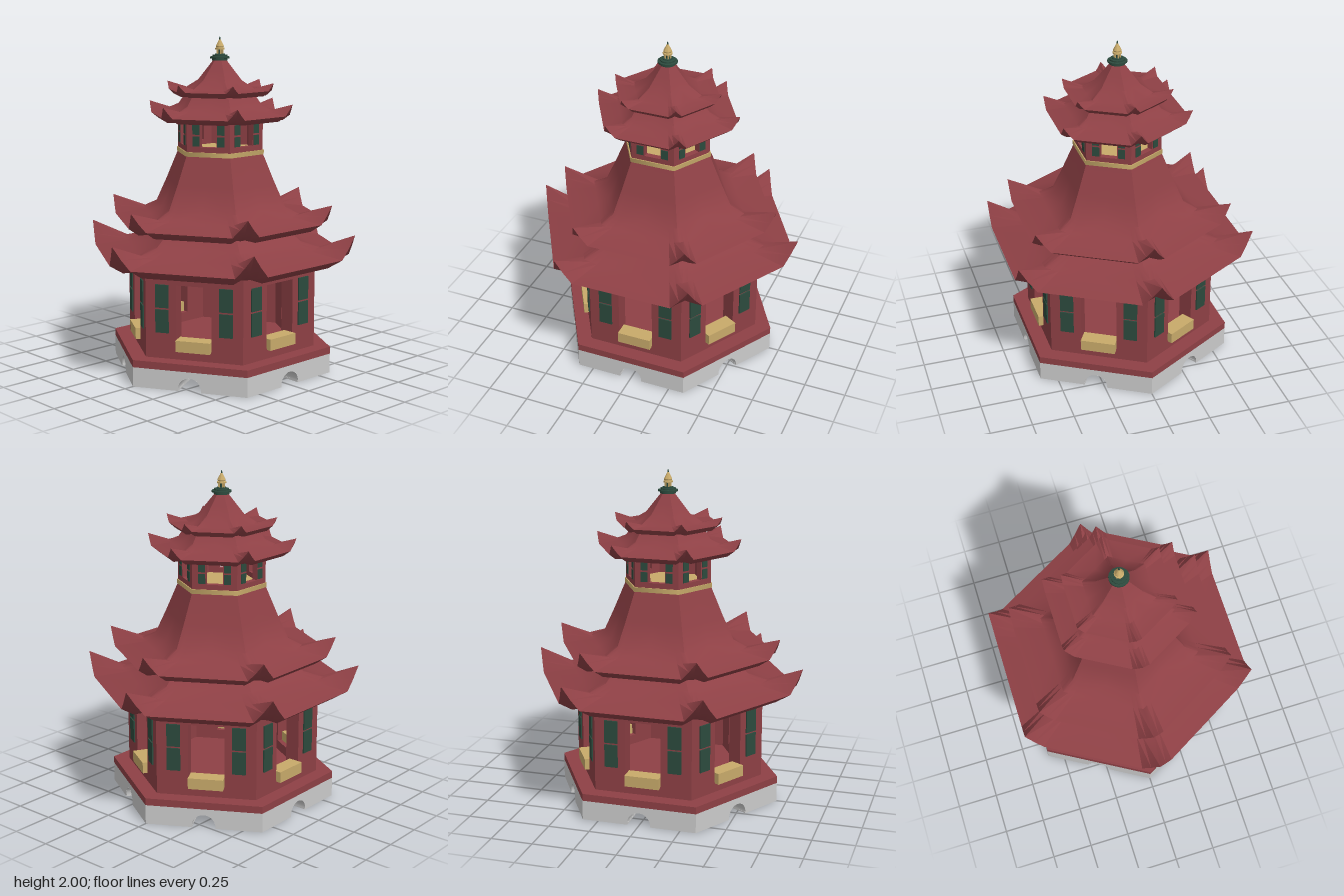
import * as THREE from 'three';
import { mergeGeometries, toCreasedNormals } from 'three/addons/utils/BufferGeometryUtils.js';

const COS30 = Math.sqrt(3) / 2;
const mat = (color, extra = {}) => new THREE.MeshStandardMaterial({ color, ...extra });

export function createModel() {
  const model = new THREE.Group();
  const red = mat(0x8e4045, { flatShading: true });
  const roofRed = mat(0x8e4045, { side: THREE.DoubleSide });
  const stone = mat(0xcccccc, { side: THREE.DoubleSide });
  const green = mat(0x2c4a3d);
  const tan = mat(0xc8aa6a);

  const add = (parent, name, geometry, material) => {
    const mesh = new THREE.Mesh(geometry, material);
    mesh.name = name;
    parent.add(mesh);
    return mesh;
  };

  // Hexagonal prism with corners on the x axis
  const hexPrism = (name, r, y0, y1, material) => {
    const g = new THREE.CylinderGeometry(r, r, y1 - y0, 6, 1, false, Math.PI / 6);
    g.translate(0, (y0 + y1) / 2, 0);
    return add(model, name, g.toNonIndexed(), material);
  };

  // Six turned copies of something built facing +z
  const sixSides = (name, build) => {
    for (let k = 0; k < 6; k++) {
      const side = new THREE.Group();
      side.name = name;
      side.rotation.y = (k * Math.PI) / 3;
      build(side);
      model.add(side);
    }
  };

  const box = (x, y0, y1, z0, z1, w) =>
    new THREE.BoxGeometry(w, y1 - y0, z1 - z0).translate(x, (y0 + y1) / 2, (z0 + z1) / 2);

  // Stone base: arched outer faces, tunnels and the underside between them
  const baseR = 0.69, baseTop = 0.117, archR = 0.07, archY = 0.01;
  const face = new THREE.Shape();
  face.moveTo(-baseR / 2, 0);
  face.lineTo(-archR, 0);
  face.lineTo(-archR, archY);
  face.absarc(0, archY, archR, Math.PI, 0, true);
  face.lineTo(archR, 0);
  face.lineTo(baseR / 2, 0);
  face.lineTo(baseR / 2, baseTop);
  face.lineTo(-baseR / 2, baseTop);
  const faceGeo = new THREE.ShapeGeometry(face, 16).translate(0, 0, baseR * COS30);

  const tunnelStart = 2 * archR * COS30;
  const tunnelLength = baseR * COS30 - tunnelStart;
  const tunnelGeo = new THREE.CylinderGeometry(archR, archR, tunnelLength, 16, 1, true, Math.PI / 2, Math.PI);
  tunnelGeo.rotateX(Math.PI / 2).translate(0, archY, tunnelStart + tunnelLength / 2);

  const kite = new THREE.Shape([
    [2 * archR, 0],
    [baseR * 0.75 + archR / 2, -baseR * COS30 / 2 + archR * COS30],
    [baseR, 0],
    [baseR * 0.75 + archR / 2, baseR * COS30 / 2 - archR * COS30],
  ].map(([x, y]) => new THREE.Vector2(x, y)));
  const kiteGeo = new THREE.ShapeGeometry(kite).rotateX(Math.PI / 2);

  sixSides('baseSide', (side) => {
    add(side, 'baseFace', faceGeo, stone);
    add(side, 'baseTunnel', tunnelGeo, stone);
    add(side, 'baseUnderside', kiteGeo, stone);
    for (const s of [-1, 1]) {
      add(side, 'tunnelFoot', box(s * archR, 0, archY, tunnelStart, baseR * COS30 - 0.002, 0.002), stone);
    }
  });
  hexPrism('floorCore', 0.46, 0.06, 0.15, red);
  hexPrism('floorSlab', baseR, baseTop, 0.16, red);

  // Storey: six walls with an open window and a pair of split shutters
  const storey = (name, o) => {
    const ap = o.r * COS30;
    const wall = new THREE.Shape();
    wall.moveTo(-o.r / 2, o.y0);
    wall.lineTo(o.r / 2, o.y0);
    wall.lineTo(o.r / 2, o.y1);
    wall.lineTo(-o.r / 2, o.y1);
    const hole = new THREE.Path();
    hole.moveTo(-o.win, o.winY0);
    hole.lineTo(-o.win, o.winY1);
    hole.lineTo(o.win, o.winY1);
    hole.lineTo(o.win, o.winY0);
    wall.holes.push(hole);
    const wallGeo = new THREE.ExtrudeGeometry(wall, { depth: o.thick, bevelEnabled: false });
    wallGeo.translate(0, 0, ap - o.thick);
    sixSides(name, (side) => {
      add(side, 'wall', wallGeo, red);
      for (const s of [-1, 1]) {
        for (const [a, b] of o.panels) {
          add(side, 'shutter', box(s * o.panelX, a, b, ap - 0.01, ap + o.proud, o.panelW), green);
        }
      }
      if (o.sill) add(side, 'windowSill', box(0, 0.213, 0.28, 0.45, 0.54, 0.208), tan);
    });
  };
  storey('lowerStorey', {
    r: 0.59, y0: 0.155, y1: 0.7, thick: 0.09, win: 0.107, winY0: 0.22, winY1: 0.6,
    panels: [[0.314, 0.452], [0.463, 0.6]], panelX: 0.193, panelW: 0.08, proud: 0.008, sill: true,
  });
  storey('upperStorey', {
    r: 0.265, y0: 1.32, y1: 1.54, thick: 0.035, win: 0.05, winY0: 1.365, winY1: 1.5,
    panels: [[1.37, 1.428], [1.439, 1.498]], panelX: 0.076, panelW: 0.042, proud: 0.004,
  });
  hexPrism('trimBand', 0.272, 1.308, 1.335, tan);

  // Roof: rows of [radius, height, corner lift] from the soffit round the eave to the top
  const us = [-1, -0.87, -0.74, 0, 0.74, 0.87, 1];
  const roof = (name, rows) => {
    const pos = [], index = [];
    for (const [r, y, lift] of rows) {
      for (const u of us) {
        const t = Math.max(0, (Math.abs(u) - 0.74) / 0.26);
        pos.push((u * r) / 2, y + (lift || 0) * Math.pow(t, 1.15), r * COS30);
      }
    }
    const n = us.length;
    for (let i = 0; i < rows.length - 1; i++) {
      for (let j = 0; j < n - 1; j++) {
        const a = i * n + j, b = a + 1, c = a + n, d = c + 1;
        // Mirror the diagonals so both halves match
        if (j < (n - 1) / 2) index.push(a, b, d, a, d, c);
        else index.push(a, b, c, b, d, c);
      }
    }
    const one = new THREE.BufferGeometry();
    one.setAttribute('position', new THREE.Float32BufferAttribute(pos, 3));
    one.setIndex(index);
    const sides = [];
    for (let k = 0; k < 6; k++) sides.push(one.clone().rotateY((k * Math.PI) / 3));
    add(model, name, toCreasedNormals(mergeGeometries(sides), 0.7), roofRed);
  };
  roof('lowestRoof', [
    [0.01, 0.66], [0.6, 0.66], [0.735, 0.66, 0.07], [0.83, 0.715, 0.135],
    [0.62, 0.752, 0.015], [0.5, 0.795], [0.4, 0.885],
  ]);
  roof('secondRoof', [
    [0.01, 0.87], [0.52, 0.87], [0.62, 0.87, 0.055], [0.69, 0.915, 0.105],
    [0.49, 0.95, 0.01], [0.405, 1.0], [0.34, 1.14], [0.265, 1.315], [0.01, 1.315],
  ]);
  roof('thirdRoof', [
    [0.01, 1.51], [0.33, 1.51], [0.4, 1.51, 0.035], [0.445, 1.542, 0.066],
    [0.32, 1.567, 0.006], [0.26, 1.598], [0.205, 1.675],
  ]);
  roof('topRoof', [
    [0.01, 1.655], [0.24, 1.655], [0.295, 1.655, 0.025], [0.33, 1.685, 0.045],
    [0.21, 1.692, 0.005], [0.135, 1.743], [0.085, 1.805], [0.035, 1.867], [0.005, 1.867],
  ]);

  // Finial: tiered collar, ring of posts, bell-shaped cap and spike
  const lathe = (name, pts, material) => add(model, name,
    toCreasedNormals(new THREE.LatheGeometry(pts.map(([x, y]) => new THREE.Vector2(x, y)), 20), 0.6), material);
  lathe('finialCollar', [
    [0, 1.858], [0.046, 1.858], [0.046, 1.868], [0.058, 1.87], [0.058, 1.88],
    [0.045, 1.882], [0.045, 1.89], [0.03, 1.892], [0.03, 1.897], [0, 1.897],
  ], green);
  for (let k = 0; k < 6; k++) {
    const a = (k * Math.PI) / 3;
    const post = new THREE.CylinderGeometry(0.004, 0.004, 0.032, 6);
    add(model, 'finialPost', post.translate(0.018 * Math.cos(a), 1.91, 0.018 * Math.sin(a)), tan);
  }
  lathe('finialCore', [[0, 1.895], [0.009, 1.895], [0.009, 1.925], [0, 1.925]], green);
  lathe('finialCap', [
    [0, 1.922], [0.028, 1.922], [0.028, 1.93], [0.022, 1.934], [0.024, 1.942],
    [0.018, 1.955], [0.011, 1.968], [0.006, 1.98], [0, 1.982],
  ], tan);
  lathe('finialSpike', [[0, 1.975], [0.005, 1.975], [0.004, 1.99], [0, 2]], green);

  return model;
}
